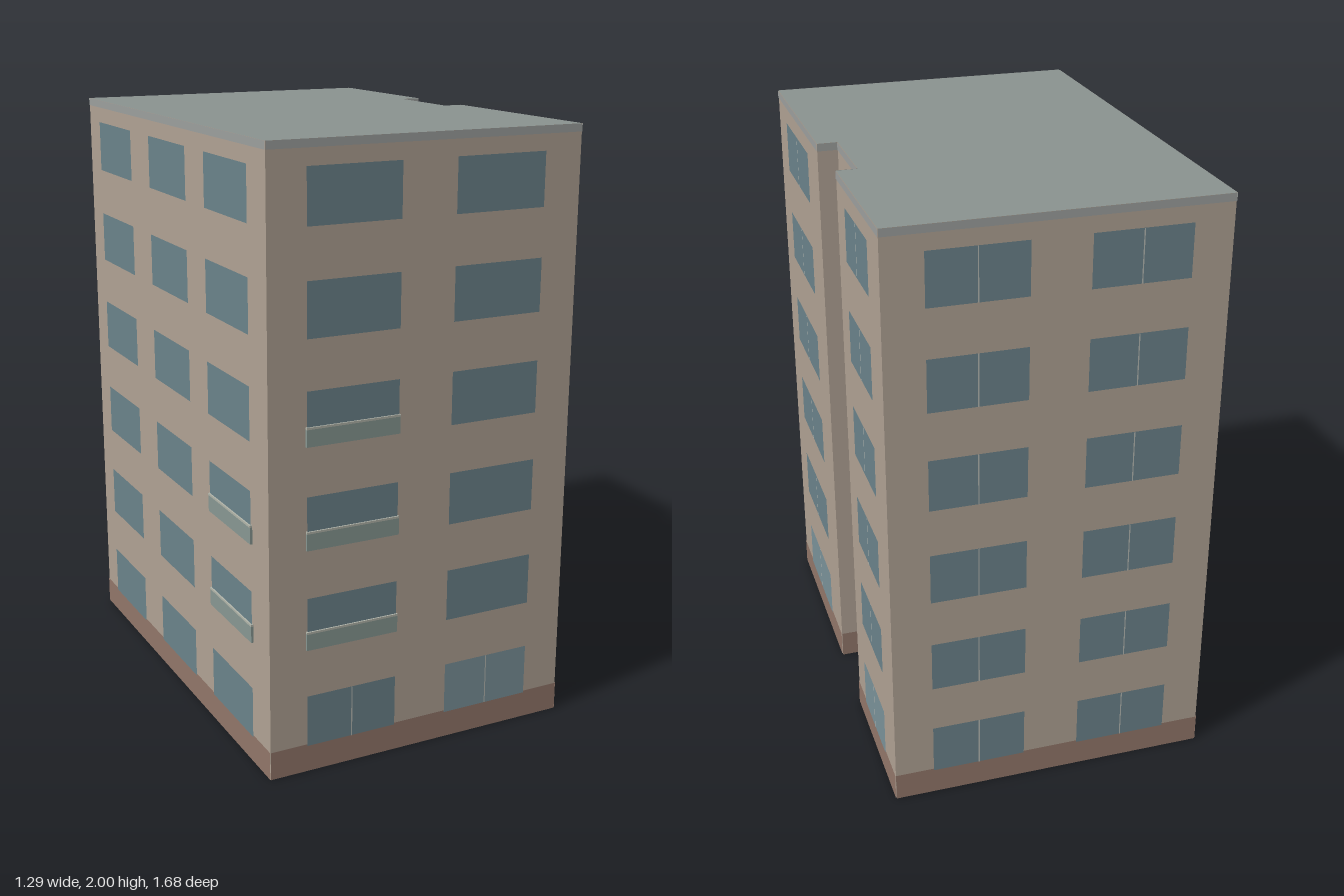
import * as THREE from 'three';

const H = 2, FLOORS = 6, STEP = 0.332, SILL = 0.09, WIN_H = 0.173;

const paint = (color) => new THREE.MeshStandardMaterial({ color, side: THREE.DoubleSide });
const mats = {
  wall: paint(0xb0a294), roof: paint(0x8a9390), plinth: paint(0x92776a), fascia: paint(0x9da09e),
  glass: paint(0x6b838b), paleGlass: paint(0x7b929a), mullion: paint(0xb4b8b2),
  balcony: paint(0x889893), rail: paint(0xb2b5aa),
};

// Footprint corners [x, z], running from the front-left corner along the front wall
const corners = [
  [-0.422, 0.84], [0.643, 0.69], [0.542, -0.007], [0.475, 0.003],
  [0.433, -0.292], [0.5, -0.301], [0.422, -0.84], [-0.643, -0.69],
];

// Window columns per wall: from/to are fractions of the wall's length
const wallWindows = {
  0: [
    { from: 0.118, to: 0.41, balconies: [1, 2, 3], mullions: [0] },
    { from: 0.585, to: 0.877, mullions: [0], paleGround: true },
  ],
  1: [{ from: 0.23, to: 0.777, paleGround: true }],
  3: [{ from: 0.22, to: 0.748, paleGround: true }],
  5: [{ from: 0.228, to: 0.767 }].map((c) => ({ ...c, paleGround: true })),
  6: [{ from: 0.12, to: 0.412 }, { from: 0.587, to: 0.88 }],
  7: [
    { from: 0.075, to: 0.285, mullions: [] },
    { from: 0.4, to: 0.61, mullions: [] },
    { from: 0.71, to: 0.92, mullions: [], balconies: [1, 2] },
  ],
};
const everyFloor = [0, 1, 2, 3, 4, 5];

// Flat rectangle in a wall's own frame (x along the wall, z outward)
function panel(parent, name, mat, x0, x1, y0, y1, z) {
  const mesh = new THREE.Mesh(new THREE.PlaneGeometry(x1 - x0, y1 - y0), mat);
  mesh.position.set((x0 + x1) / 2, (y0 + y1) / 2, z);
  mesh.name = name;
  parent.add(mesh);
}

function block(parent, name, mat, x0, x1, y0, y1, depth) {
  const mesh = new THREE.Mesh(new THREE.BoxGeometry(x1 - x0, y1 - y0, depth), mat);
  mesh.position.set((x0 + x1) / 2, (y0 + y1) / 2, depth / 2);
  mesh.name = name;
  parent.add(mesh);
}

function addWindowColumn(wall, length, column) {
  const { from, to, mullions = everyFloor, balconies = [], paleGround = false } = column;
  const x0 = from * length, x1 = to * length, mid = (x0 + x1) / 2;
  for (let floor = 0; floor < FLOORS; floor++) {
    const y = SILL + floor * STEP;
    const glass = floor === 0 && paleGround ? mats.paleGlass : mats.glass;
    panel(wall, 'window', glass, x0, x1, y, y + WIN_H, 0.004);
    if (mullions.includes(floor)) {
      panel(wall, 'mullion', mats.mullion, mid - 0.002, mid + 0.002, y, y + WIN_H, 0.005);
    }
    if (balconies.includes(floor)) {
      block(wall, 'balconyPanel', mats.balcony, x0 - 0.003, x1 + 0.003, y, y + 0.055, 0.008);
      block(wall, 'balconyRail', mats.rail, x0 - 0.003, x1 + 0.003, y + 0.055, y + 0.062, 0.009);
    }
  }
}

export function createModel() {
  const building = new THREE.Group();
  building.name = 'apartmentBlock';

  // Walls, open underneath, each with plinth, fascia and windows
  corners.forEach(([x, z], i) => {
    const [nx, nz] = corners[(i + 1) % corners.length];
    const length = Math.hypot(nx - x, nz - z);
    const wall = new THREE.Group();
    wall.name = 'wall' + (i + 1);
    wall.position.set(x, 0, z);
    wall.rotation.y = Math.atan2(z - nz, nx - x);
    panel(wall, 'wallFace', mats.wall, 0, length, 0, H, 0);
    panel(wall, 'plinth', mats.plinth, 0, length, 0, 0.095, 0.002);
    panel(wall, 'fascia', mats.fascia, 0, length, H - 0.025, H, 0.002);
    (wallWindows[i] || []).forEach((column) => addWindowColumn(wall, length, column));
    building.add(wall);
  });

  // Flat roof following the footprint
  const outline = new THREE.Shape(corners.map(([x, z]) => new THREE.Vector2(x, -z)));
  const roof = new THREE.Mesh(new THREE.ShapeGeometry(outline), mats.roof);
  roof.rotation.x = -Math.PI / 2;
  roof.position.y = H;
  roof.name = 'roof';
  building.add(roof);

  return building;
}
